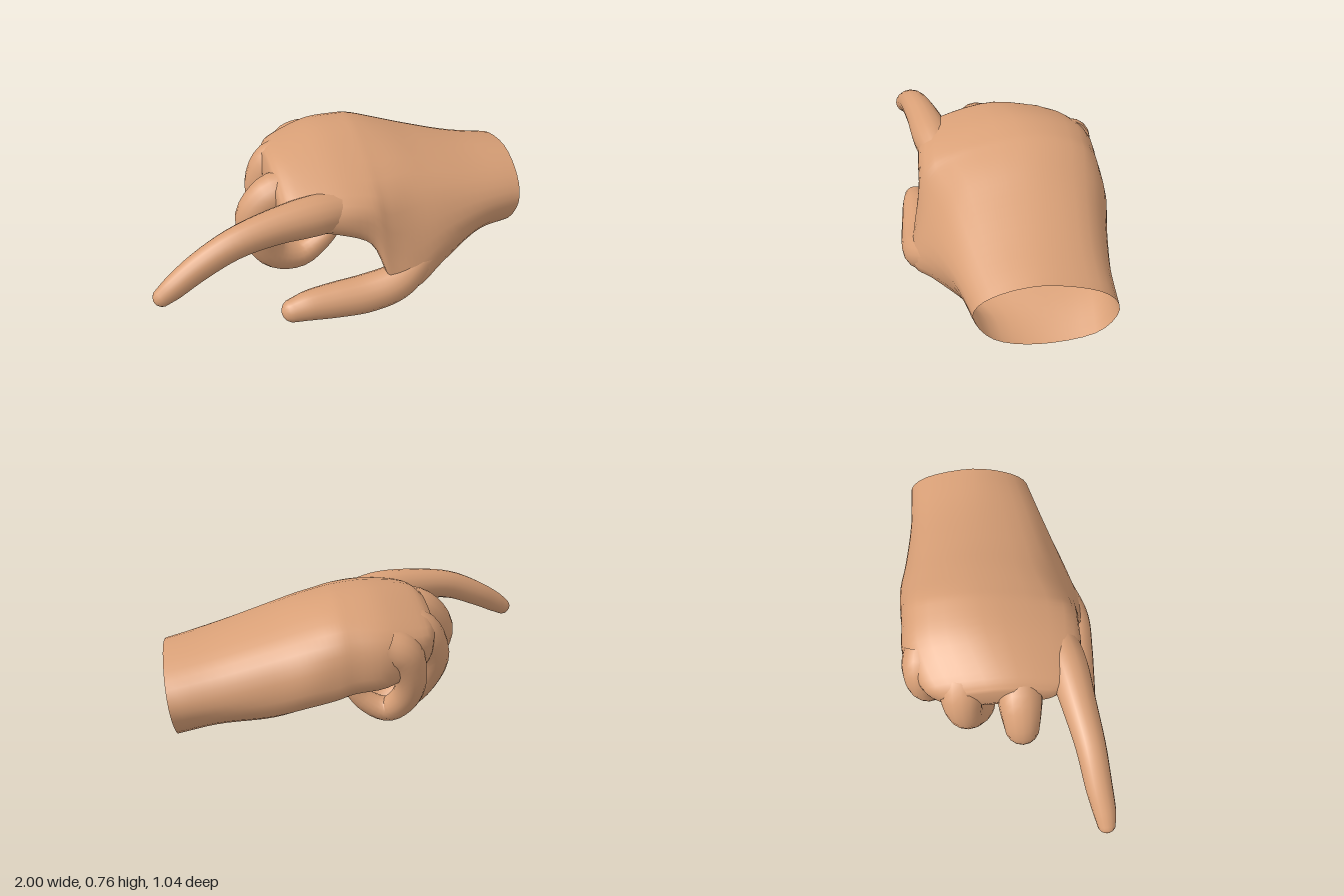
import * as THREE from 'three';

const skin = new THREE.MeshStandardMaterial({ color: 0xd9a077, side: THREE.DoubleSide });
skin.name = 'skin';

// Joins a list of equal-length rings into one smooth surface that closes at an end point.
function loft(name, rings, tip) {
  const n = rings[0].length, index = [];
  const points = rings.flat();
  for (let i = 0; i < rings.length - 1; i++) {
    for (let j = 0; j < n; j++) {
      const a = i * n + j, b = i * n + (j + 1) % n;
      index.push(a, b, b + n, a, b + n, a + n);
    }
  }
  const last = (rings.length - 1) * n;
  for (let j = 0; j < n; j++) index.push(last + j, last + (j + 1) % n, points.length);
  points.push(tip);
  const geometry = new THREE.BufferGeometry().setFromPoints(points);
  geometry.setIndex(index);
  geometry.computeVertexNormals();
  const mesh = new THREE.Mesh(geometry, skin);
  mesh.name = name;
  return mesh;
}

// Tapered finger with a round tip. Each joint is [x, y, z, radius].
function finger(name, joints, sides = 16, steps = 28) {
  const path = new THREE.CatmullRomCurve3(joints.map(([x, y, z]) => new THREE.Vector3(x, y, z)));
  const radii = new THREE.CatmullRomCurve3(
    joints.map((p, i) => new THREE.Vector3(i, p[3], 0)), false, 'catmullrom');
  const rings = [];
  const addRing = (center, tangent, r) => {
    const side = new THREE.Vector3(0, 0, 1);
    side.addScaledVector(tangent, -side.dot(tangent)).normalize();
    const up = tangent.clone().cross(side);
    const ring = [];
    for (let j = 0; j < sides; j++) {
      const a = j / sides * Math.PI * 2;
      ring.push(center.clone()
        .addScaledVector(side, Math.cos(a) * r).addScaledVector(up, Math.sin(a) * r));
    }
    rings.push(ring);
  };
  for (let i = 0; i <= steps; i++) {
    const t = i / steps;
    addRing(path.getPoint(t), path.getTangent(t), radii.getPoint(t).y);
  }
  // Rounded fingertip
  const end = path.getPoint(1), tangent = path.getTangent(1), r = joints.at(-1)[3];
  for (const a of [0.4, 0.8, 1.2]) {
    addRing(end.clone().addScaledVector(tangent, r * Math.sin(a)), tangent, r * Math.cos(a));
  }
  return loft(name, rings, end.clone().addScaledVector(tangent, r));
}

// Palm and wrist sections: x, then z,y pairs from the thumb edge over the back of the hand and under.
const SECTIONS = [
  [0.97, 0.205, 0.36, 0.12, 0.48, -0.1, 0.54, -0.36, 0.48, -0.455, 0.35, -0.36, 0.19, -0.1, 0.135, 0.11, 0.19],
  [0.75, 0.27, 0.37, 0.17, 0.52, -0.1, 0.585, -0.36, 0.53, -0.46, 0.38, -0.38, 0.235, -0.1, 0.175, 0.15, 0.18],
  [0.5, 0.37, 0.33, 0.22, 0.57, -0.1, 0.655, -0.38, 0.6, -0.49, 0.43, -0.42, 0.265, -0.02, 0.22, 0.32, 0.16],
  [0.32, 0.44, 0.26, 0.26, 0.6, -0.1, 0.715, -0.4, 0.655, -0.52, 0.48, -0.44, 0.315, 0.08, 0.295, 0.42, 0.11],
  [0.19, 0.435, 0.3, 0.31, 0.61, -0.1, 0.75, -0.42, 0.69, -0.52, 0.5, -0.44, 0.35, 0.15, 0.37, 0.42, 0.17],
  [0.1, 0.405, 0.48, 0.32, 0.64, -0.1, 0.764, -0.42, 0.7, -0.515, 0.52, -0.44, 0.375, 0.08, 0.41, 0.36, 0.37],
  [-0.07, 0.4, 0.55, 0.31, 0.66, -0.08, 0.764, -0.42, 0.69, -0.51, 0.53, -0.44, 0.395, 0, 0.43, 0.33, 0.45],
  [-0.27, 0.36, 0.57, 0.28, 0.645, -0.02, 0.72, -0.35, 0.65, -0.41, 0.55, -0.33, 0.43, -0.02, 0.44, 0.29, 0.48],
];

function palm(sides = 32, steps = 35) {
  const rings = SECTIONS.map(([x, ...zy], s) => {
    const corners = [];
    for (let k = 0; k < zy.length; k += 2) {
      // The wrist opening is cut at a slight slant
      const slant = s === 0 ? 0.13 * (zy[k + 1] - 0.34) - 0.02 * (zy[k] + 0.12) : 0;
      corners.push(new THREE.Vector3(x + slant, zy[k + 1], zy[k]));
    }
    const outline = new THREE.CatmullRomCurve3(corners, true, 'catmullrom');
    return Array.from({ length: sides }, (_, j) => outline.getPoint(j / sides));
  });
  // Rounded knuckle end
  const middle = new THREE.Vector3(-0.36, 0.57, -0.04);
  rings.push(rings.at(-1).map(p => p.clone().lerp(middle, 0.3).setX(-0.34)));
  const tracks = rings[0].map((_, j) =>
    new THREE.CatmullRomCurve3(rings.map(r => r[j]), false, 'catmullrom'));
  const smooth = [];
  for (let i = 0; i <= steps; i++) smooth.push(tracks.map(t => t.getPoint(i / steps)));
  return loft('palmAndWrist', smooth, middle);
}

export function createModel() {
  const hand = new THREE.Group();
  hand.name = 'pointingHand';
  hand.add(
    palm(),
    finger('indexFinger', [
      [0, 0.56, 0.28, 0.085], [-0.18, 0.574, 0.318, 0.102], [-0.4, 0.572, 0.36, 0.088],
      [-0.6, 0.54, 0.4, 0.076], [-0.78, 0.458, 0.43, 0.068], [-0.9, 0.385, 0.455, 0.058],
      [-0.955, 0.348, 0.463, 0.047],
    ]),
    finger('middleFinger', [
      [-0.25, 0.58, 0.07, 0.11], [-0.35, 0.55, 0.07, 0.112], [-0.448, 0.44, 0.075, 0.092],
      [-0.42, 0.31, 0.08, 0.086], [-0.335, 0.185, 0.07, 0.082], [-0.2, 0.145, 0.055, 0.07],
      [-0.07, 0.22, 0.04, 0.055], [0, 0.29, 0.03, 0.042],
    ]),
    finger('ringFinger', [
      [-0.18, 0.59, -0.2, 0.11], [-0.27, 0.56, -0.22, 0.118], [-0.345, 0.44, -0.215, 0.094],
      [-0.325, 0.3, -0.18, 0.083], [-0.24, 0.165, -0.13, 0.08], [-0.1, 0.125, -0.105, 0.072],
      [0.04, 0.2, -0.09, 0.055], [0.11, 0.28, -0.08, 0.042],
    ]),
    finger('littleFinger', [
      [-0.06, 0.59, -0.4, 0.1], [-0.145, 0.55, -0.415, 0.102], [-0.19, 0.42, -0.42, 0.08],
      [-0.17, 0.29, -0.385, 0.072], [-0.09, 0.205, -0.335, 0.065], [0.03, 0.26, -0.3, 0.053],
      [0.1, 0.365, -0.28, 0.045],
    ]),
    finger('thumb', [
      [0.38, 0.24, 0.345, 0.08], [0.23, 0.15, 0.41, 0.095], [0.07, 0.107, 0.415, 0.1],
      [-0.1, 0.1, 0.418, 0.092], [-0.24, 0.1, 0.425, 0.078], [-0.325, 0.09, 0.43, 0.062],
    ]),
  );
  return hand;
}
